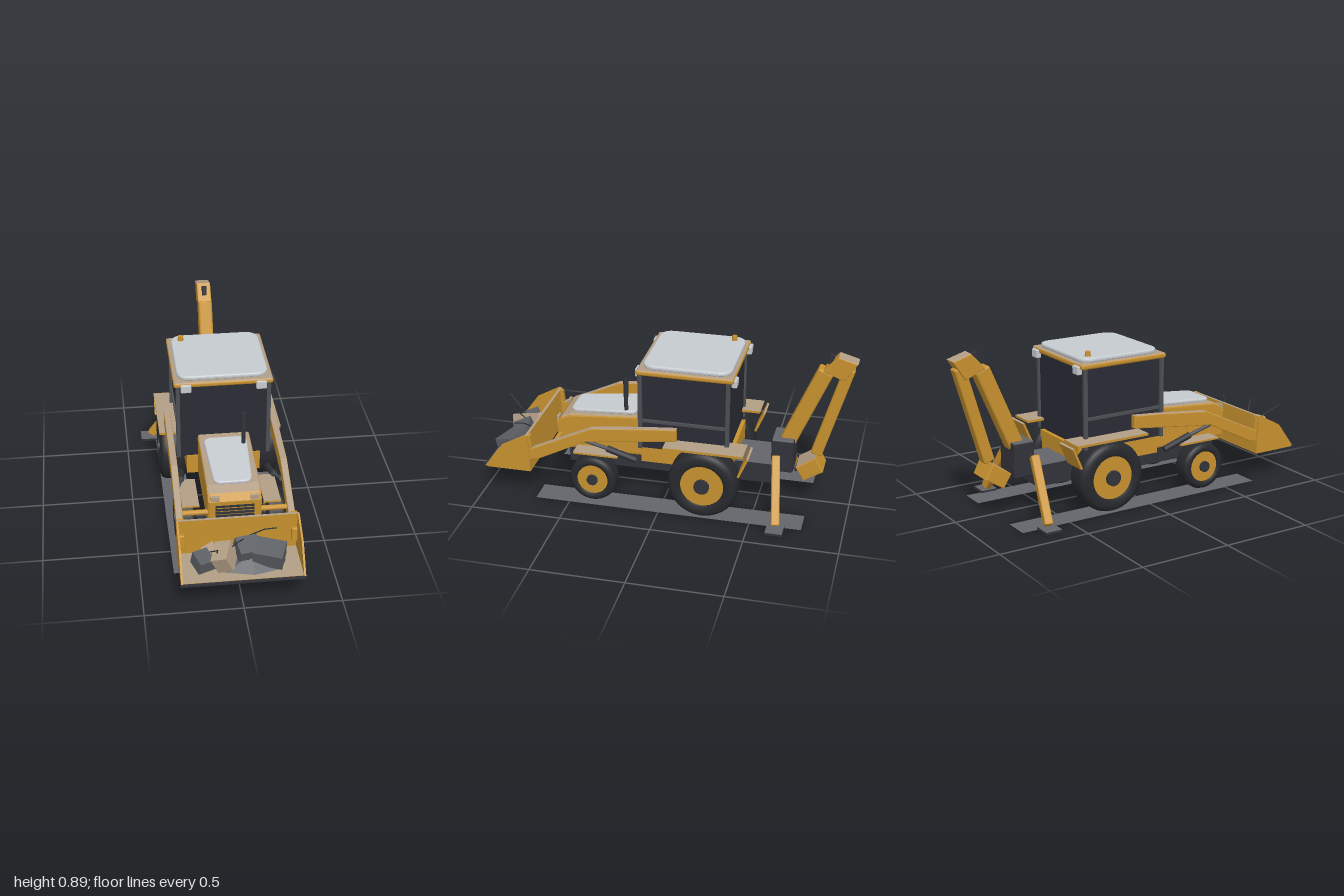
import * as THREE from 'three';
import { RoundedBoxGeometry } from 'three/addons/geometries/RoundedBoxGeometry.js';

const paint = (name, color) => {
  const m = new THREE.MeshStandardMaterial({ color });
  m.name = name;
  return m;
};

export function createModel() {
  const yellow = paint('yellow paint', 0xc8922f), dust = paint('dusty paint', 0xb39e86);
  const dark = paint('dark steel', 0x32333a), greyDust = paint('dusty steel', 0x64656a);
  const rubber = paint('rubber', 0x28292d), glass = paint('dark glass', 0x2b2c35);
  const white = paint('white panel', 0xc6cbd0), trim = paint('grey trim', 0x4c4f54);
  const stone = paint('grey stone', 0x5c5f64);
  greyDust.side = THREE.DoubleSide;
  const dusty = new Map([[yellow, dust], [dark, greyDust]]);
  const model = new THREE.Group();
  model.name = 'diggingTractor';

  const add = (name, geo, mat, pos = [0, 0, 0], rot = [0, 0, 0]) => {
    const mesh = new THREE.Mesh(geo, mat);
    mesh.name = name;
    mesh.position.set(...pos);
    mesh.rotation.set(...rot);
    model.add(mesh);
    return mesh;
  };
  // Gives upward faces the dusty version of a colour
  const addDusty = (name, source, mat, pos = [0, 0, 0], rot = [0, 0, 0]) => {
    const geo = source.index ? source.toNonIndexed() : source;
    geo.clearGroups();
    const p = geo.attributes.position, turn = new THREE.Euler(...rot);
    const tri = new THREE.Triangle(), n = new THREE.Vector3();
    let last = null;
    for (let i = 0; i < p.count; i += 3) {
      tri.setFromAttributeAndIndices(p, i, i + 1, i + 2);
      tri.getNormal(n).applyEuler(turn);
      const which = n.y > 0.8 ? 1 : 0;
      if (last && last.materialIndex === which) last.count += 3;
      else {
        geo.addGroup(i, 3, which);
        last = geo.groups[geo.groups.length - 1];
      }
    }
    add(name, geo, [mat, dusty.get(mat)], pos, rot);
  };
  const box = (w, h, d, r = 0) => r ? new RoundedBoxGeometry(w, h, d, 2, r) : new THREE.BoxGeometry(w, h, d);
  // Side profile of [z, y] points, extruded across x
  const profile = (pts, width, bevel = 0) => {
    const shape = new THREE.Shape(pts.map(([z, y]) => new THREE.Vector2(z, y)));
    const depth = width - 2 * bevel;
    const geo = new THREE.ExtrudeGeometry(shape, {
      depth, bevelEnabled: bevel > 0, bevelSize: bevel, bevelThickness: bevel, bevelOffset: -bevel, bevelSegments: 2 });
    return geo.translate(0, 0, -depth / 2).rotateY(-Math.PI / 2);
  };
  // Flat plate with rounded corners, lying in xz, tapering to the front
  const panel = (w, d, r, h, front = 1) => {
    const s = new THREE.Shape(), x = w / 2, z = d / 2, f = x * front;
    s.moveTo(-f + r, -z).lineTo(f - r, -z).quadraticCurveTo(f, -z, f, -z + r);
    s.lineTo(x, z - r).quadraticCurveTo(x, z, x - r, z);
    s.lineTo(-x + r, z).quadraticCurveTo(-x, z, -x, z - r);
    s.lineTo(-f, -z + r).quadraticCurveTo(-f, -z, -f + r, -z);
    const b = h * 0.4;
    return new THREE.ExtrudeGeometry(s, { depth: h - 2 * b, bevelSize: b, bevelThickness: b, bevelOffset: -b, bevelSegments: 3 })
      .translate(0, 0, b).rotateX(-Math.PI / 2);
  };
  // Box (with h) or tube stretched between two points
  const between = (name, a, b, mat, w, h = 0) => {
    const A = new THREE.Vector3(...a), B = new THREE.Vector3(...b), len = A.distanceTo(B);
    const geo = h ? box(w, h, len, Math.min(w, h) * 0.15) : new THREE.CylinderGeometry(w, w, len, 12).rotateX(Math.PI / 2);
    add(name, geo, mat, A.clone().add(B).multiplyScalar(0.5).toArray()).lookAt(B);
  };

  // Wheels: rounded tyre, rim disc and hub
  const wheel = (name, x, y, z, r, w, rim) => {
    const h = w / 2, k = r * 0.16;
    const pts = [[rim, -h * 0.8], [rim + 0.01, -h], [r - k, -h], [r - k * 0.3, -h * 0.85], [r, -h * 0.55],
      [r, h * 0.55], [r - k * 0.3, h * 0.85], [r - k, h], [rim + 0.01, h], [rim, h * 0.8]];
    add(name + 'Tyre', new THREE.LatheGeometry(pts.map(p => new THREE.Vector2(...p)), 40).rotateZ(Math.PI / 2), rubber, [x, y, z]);
    const disc = (part, rad, wid, mat) =>
      add(name + part, new THREE.CylinderGeometry(rad, rad, wid, 32).rotateZ(Math.PI / 2), mat, [x, y, z]);
    disc('Rim', rim + 0.002, w * 0.86, yellow);
    disc('Hub', rim * 0.36, w + 0.012, dark);
  };
  for (const s of [-1, 1]) {
    wheel('rearWheel', s * 0.258, 0.195, -0.24, 0.19, 0.145, 0.115);
    wheel('frontWheel', s * 0.24, 0.136, 0.375, 0.13, 0.105, 0.083);
    add('wheelTrack', new THREE.PlaneGeometry(0.145, 1.47).rotateX(-Math.PI / 2), greyDust, [s * 0.253, 0.003, -0.045]);
  }
  add('rearAxle', new THREE.CylinderGeometry(0.035, 0.035, 0.5, 16).rotateZ(Math.PI / 2), dark, [0, 0.195, -0.24]);
  add('frontAxle', new THREE.CylinderGeometry(0.025, 0.025, 0.46, 16).rotateZ(Math.PI / 2), dark, [0, 0.136, 0.375]);

  // Chassis
  addDusty('chassis', box(0.25, 0.09, 0.95), dark, [0, 0.195, 0.075]);
  addDusty('rearFrame', box(0.25, 0.115, 0.26), dark, [0, 0.208, -0.45]);
  addDusty('swingPost', box(0.16, 0.19, 0.12, 0.008), dark, [0, 0.295, -0.63]);
  add('cabBase', box(0.4, 0.11, 0.5), yellow, [0, 0.293, -0.13]);

  // Bonnet
  addDusty('bonnet', profile([[0.11, 0.235], [0.61, 0.235], [0.62, 0.385], [0.59, 0.42], [0.54, 0.442], [0.11, 0.475]], 0.28, 0.012), yellow);
  add('bonnetPanel', panel(0.23, 0.38, 0.045, 0.022, 0.88), white, [0, 0.453, 0.355], [0.085, 0, 0]);
  for (let i = 0; i < 5; i++) add('grilleBar', box(0.2, 0.012, 0.008), dark, [0, 0.275 + i * 0.02, 0.617]);
  for (const s of [-1, 1]) add('headlamp', box(0.046, 0.03, 0.014, 0.003), dust, [s * 0.103, 0.402, 0.613]);
  add('exhaustPipe', new THREE.CylinderGeometry(0.011, 0.011, 0.22, 16), dark, [0.093, 0.56, 0.23]);
  add('exhaustTip', new THREE.CylinderGeometry(0.014, 0.014, 0.1, 16), dark, [0.093, 0.615, 0.23]);

  // Cab
  add('cabGlass', box(0.474, 0.435, 0.47), glass, [0, 0.5625, -0.123]);
  for (const s of [-1, 1]) {
    for (const z of [0.113, -0.358]) add('cabPillar', box(0.022, 0.44, 0.022, 0.004), trim, [s * 0.243, 0.565, z]);
    add('cabSideRail', box(0.014, 0.016, 0.46), trim, [s * 0.241, 0.51, -0.123]);
    add('frontWorkLamp', box(0.056, 0.046, 0.03, 0.006), white, [s * 0.2, 0.777, 0.128]);
    add('rearWorkLamp', box(0.056, 0.046, 0.03, 0.006), white, [s * 0.215, 0.775, -0.388]);
  }
  addDusty('roofSlab', box(0.53, 0.03, 0.52, 0.012), yellow, [0, 0.794, -0.128]);
  add('roofPanel', panel(0.485, 0.475, 0.075, 0.026), white, [0, 0.806, -0.132]);
  add('beacon', new THREE.CylinderGeometry(0.014, 0.017, 0.034, 16), yellow, [-0.188, 0.84, -0.308]);

  for (const s of [-1, 1]) {
    // Mudguards
    addDusty('rearMudguard', box(0.14, 0.013, 0.43), yellow, [s * 0.267, 0.403, -0.245]);
    addDusty('rearMudguardFlap', box(0.14, 0.125, 0.012), yellow, [s * 0.267, 0.34, -0.46], [-0.4, 0, 0]);
    addDusty('frontMudguard', box(0.09, 0.01, 0.25), yellow, [s * 0.215, 0.273, 0.365]);

    // Front lift arms and rams
    addDusty('liftArm', profile([[-0.095, 0.435], [-0.095, 0.505], [0.06, 0.492], [0.37, 0.458], [0.44, 0.425],
      [0.72, 0.292], [0.735, 0.225], [0.68, 0.232], [0.4, 0.375], [0.3, 0.385]], 0.036, 0.005), yellow, [s * 0.288, 0, 0]);
    between('liftRam', [s * 0.238, 0.262, 0.14], [s * 0.25, 0.32, 0.3], dark, 0.018);
    between('liftRamRod', [s * 0.25, 0.32, 0.3], [s * 0.27, 0.365, 0.42], trim, 0.01);
    add('bucketLink', box(0.03, 0.14, 0.018), yellow, [s * 0.288, 0.3, 0.718], [0.1, 0, 0]);
    add('armPad', box(0.032, 0.078, 0.024, 0.006), yellow, [s * 0.288, 0.252, 0.75]);

    // Stabilisers
    between('stabiliserLeg', [s * 0.14, 0.33, -0.605], [s * 0.35, 0.025, -0.645], yellow, 0.045, 0.045);
    addDusty('stabiliserFoot', box(0.1, 0.014, 0.092), dark, [s * 0.362, 0.007, -0.645]);
  }
  between('armCrossbar', [-0.28, 0.315, 0.598], [0.28, 0.315, 0.598], yellow, 0.014);

  // Front bucket
  for (const s of [-1, 1])
    add('bucketSide', profile([[0.72, 0.155], [0.735, 0.372], [0.75, 0.372], [0.88, 0.3], [0.985, 0.158]], 0.01), yellow, [s * 0.307, 0, 0]);
  addDusty('bucketBack', profile([[0.72, 0.155], [0.73, 0.372], [0.745, 0.372], [0.735, 0.155]], 0.62), yellow);
  addDusty('bucketFloor', box(0.62, 0.01, 0.255), yellow, [0, 0.159, 0.852]);
  add('cuttingEdge', box(0.63, 0.012, 0.018), dark, [0, 0.156, 0.982]);

  // Rubble with bent bars
  const pile = new THREE.ConeGeometry(0.18, 0.07, 7).scale(1, 1, 0.5).toNonIndexed();
  pile.computeVertexNormals();
  add('rubblePile', pile, stone, [0.06, 0.198, 0.86]);
  for (const [p, d, r, m] of [
    [[-0.185, 0.216, 0.87], [0.1, 0.075, 0.09], [0.3, 0.4, -0.15], stone],
    [[-0.15, 0.243, 0.83], [0.07, 0.045, 0.06], [0.3, 0.3, 0.4], dust],
    [[-0.085, 0.24, 0.88], [0.085, 0.1, 0.12], [0.3, -0.3, 0.45], dust],
    [[0.035, 0.262, 0.85], [0.115, 0.07, 0.1], [0.4, 0.2, -0.12], stone],
    [[0.143, 0.238, 0.875], [0.15, 0.095, 0.11], [0.3, -0.35, 0.06], stone]]) add('rubbleBlock', box(...d), m, p, r);
  for (const bar of [
    [[-0.125, 0.25, 0.88], [-0.122, 0.303, 0.91], [-0.172, 0.366, 0.998]],
    [[-0.045, 0.29, 0.87], [-0.02, 0.33, 0.89], [0.003, 0.37, 0.92]],
    [[0.05, 0.292, 0.79], [0.12, 0.345, 0.82], [0.178, 0.372, 0.85]]])
    for (let i = 0; i < 2; i++) between('bentBar', bar[i], bar[i + 1], dark, 0.003);

  // Digging boom, dipper and bucket, folded upright
  between('boom', [0, 0.34, -0.64], [0, 0.8, -0.835], yellow, 0.08, 0.085);
  addDusty('boomKnuckle', profile([[-0.815, 0.8], [-0.895, 0.89], [-0.998, 0.86], [-0.93, 0.755]], 0.08, 0.006), yellow);
  between('dipper', [0, 0.82, -0.955], [0, 0.3, -0.805], yellow, 0.062, 0.062);
  between('boomPin', [0, 0.835, -0.845], [0, 0.885, -0.862], dark, 0.014);
  addDusty('diggingBucket', profile([[-0.705, 0.232], [-0.81, 0.305], [-0.853, 0.222], [-0.75, 0.157]], 0.15, 0.006), yellow);
  between('bucketPin', [-0.05, 0.205, -0.705], [0.05, 0.205, -0.705], dark, 0.008);
  return model;
}
